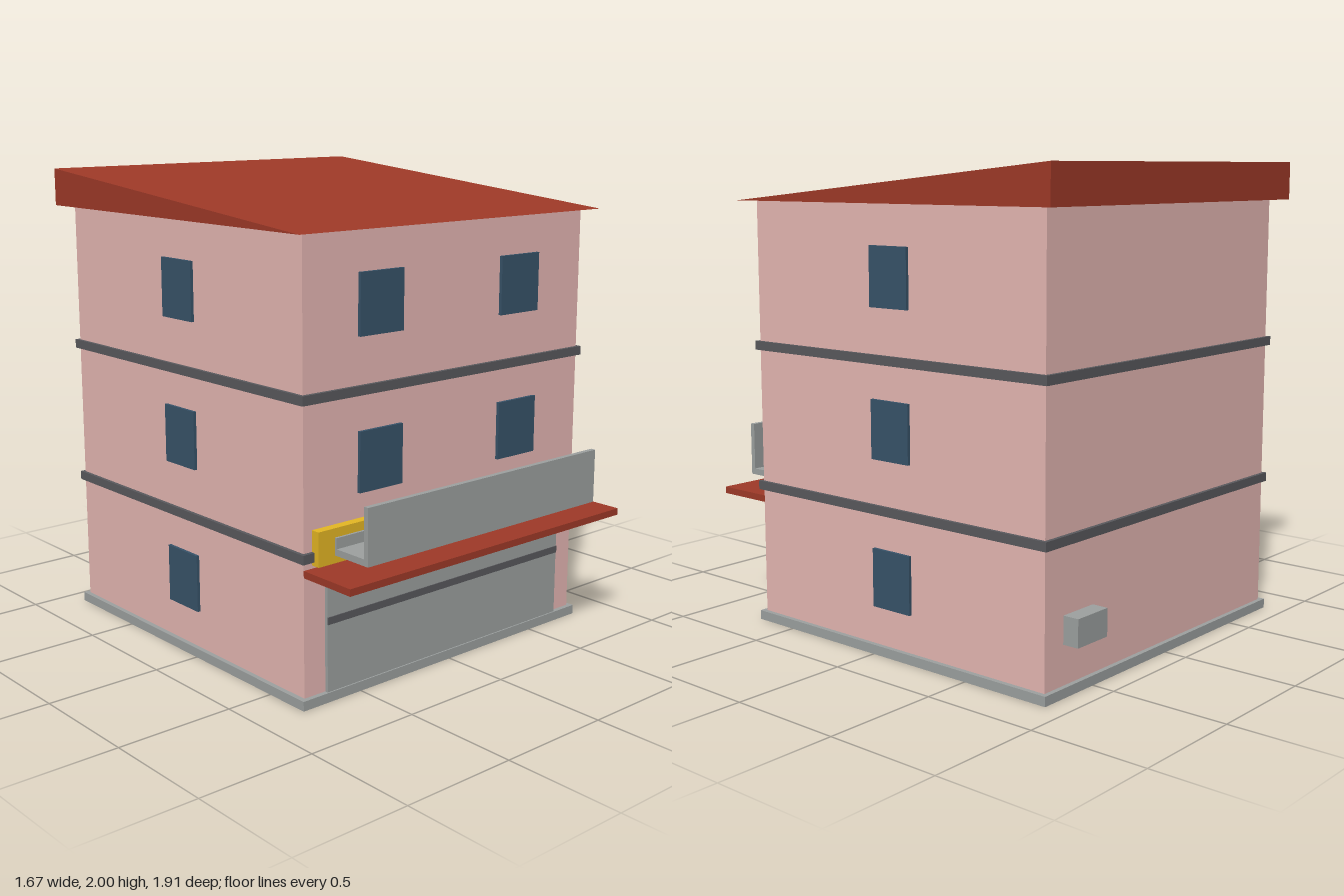
import * as THREE from 'three';

const material = (name, color) => {
  const m = new THREE.MeshStandardMaterial({ color });
  m.name = name;
  return m;
};

export function createModel() {
  const pink = material('pinkPlaster', 0xe8b9b5);
  const red = material('redTile', 0xa03a28);
  const grey = material('greyConcrete', 0x9ea2a1);
  const dark = material('darkTrim', 0x5a5a5e);
  const glass = material('blueGlass', 0x38546a);
  const yellow = material('yellowPanel', 0xe6b824);
  const magenta = material('magentaUnderside', 0xff00ff);

  const model = new THREE.Group();
  model.name = 'building';

  // Box given by its extents along each axis
  const box = (name, mat, [x0, x1], [y0, y1], [z0, z1]) => {
    const mesh = new THREE.Mesh(new THREE.BoxGeometry(x1 - x0, y1 - y0, z1 - z0), mat);
    mesh.position.set((x0 + x1) / 2, (y0 + y1) / 2, (z0 + z1) / 2);
    mesh.name = name;
    model.add(mesh);
  };

  // Plinth with a differently coloured underside, walls and storey bands
  const plinthFaces = [grey, grey, grey, magenta, grey, grey];
  box('plinth', plinthFaces, [-0.797, 0.797], [0, 0.04], [-0.902, 0.709]);
  box('walls', pink, [-0.776, 0.776], [0.04, 1.842], [-0.882, 0.688]);
  for (const y of [0.589, 1.203]) {
    box('storeyBand', dark, [-0.791, 0.791], [y, y + 0.038], [-0.898, 0.704]);
  }

  // Lean-to roof, rising to the back
  const profile = new THREE.Shape([
    new THREE.Vector2(-0.745, 1.84),
    new THREE.Vector2(0.945, 1.84),
    new THREE.Vector2(0.945, 2),
  ]);
  const roofGeometry = new THREE.ExtrudeGeometry(profile, { depth: 1.67, bevelEnabled: false });
  roofGeometry.translate(0, 0, -0.835).rotateY(Math.PI / 2);
  const roof = new THREE.Mesh(roofGeometry, red);
  roof.name = 'roof';
  model.add(roof);

  // Windows: one per storey on each side, two on each upper storey in front
  [0.201, 0.816, 1.43].forEach((y, storey) => {
    const height = [y, y + 0.245];
    box('leftWindow', glass, [0.77, 0.789], height, [-0.199, 0.005]);
    box('rightWindow', glass, [-0.789, -0.77], height, [-0.199, 0.005]);
    if (storey > 0) {
      box('frontWindow', glass, [0.275, 0.5], height, [0.68, 0.702]);
      box('frontWindow', glass, [-0.503, -0.278], height, [0.68, 0.702]);
    }
  });

  // Shutter with its rail
  box('shutter', grey, [-0.67, 0.67], [0.04, 0.5], [0.68, 0.703]);
  box('shutterRail', dark, [-0.67, 0.67], [0.32, 0.35], [0.7, 0.707]);

  // Canopy and yellow backing panel
  box('canopy', red, [-0.776, 0.776], [0.531, 0.56], [0.685, 0.954]);
  box('backingPanel', yellow, [-0.735, 0.735], [0.573, 0.713], [0.68, 0.727]);

  // Balcony trough: floor, tall front wall, low back lip
  box('balconyFloor', grey, [-0.654, 0.654], [0.605, 0.632], [0.725, 0.915]);
  box('balconyFront', grey, [-0.654, 0.654], [0.632, 0.836], [0.893, 0.915]);
  box('balconyLip', grey, [-0.654, 0.654], [0.632, 0.676], [0.725, 0.738]);

  // Air unit on the back wall
  box('airUnit', grey, [0.48, 0.664], [0.202, 0.316], [-0.952, -0.875]);

  return model;
}
